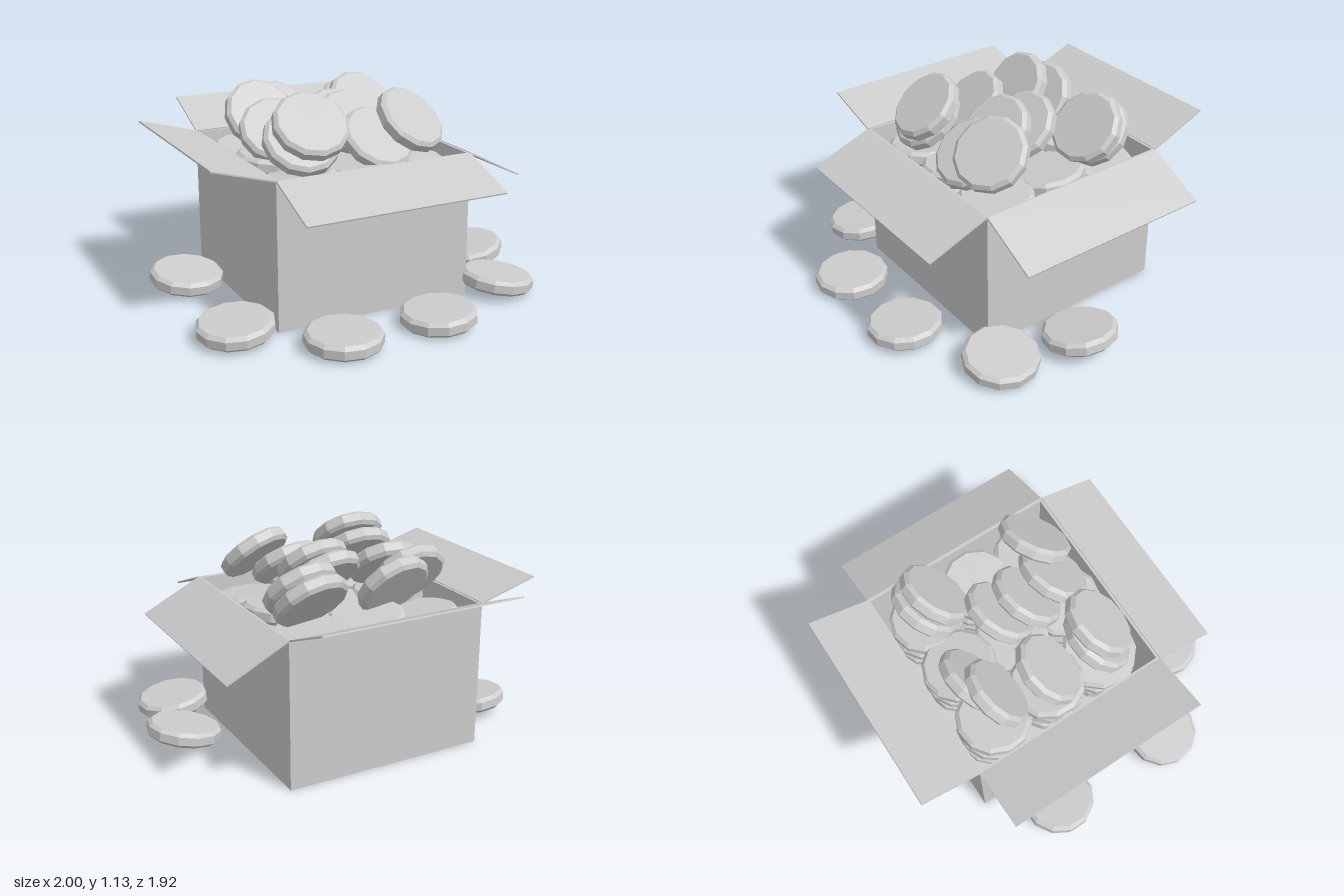
import * as THREE from 'three';

export function createModel() {
  const model = new THREE.Group();
  const grey = new THREE.MeshStandardMaterial({ color: 0xcccccc, flatShading: true });
  grey.name = 'light grey';

  // Carton extents
  const x0 = -0.585, x1 = 0.528, z0 = -0.64, z1 = 0.468, H = 0.79, T = 0.014;
  const cx = (x0 + x1) / 2, cz = (z0 + z1) / 2, W = x1 - x0, D = z1 - z0;

  const carton = new THREE.Group();
  carton.name = 'carton';
  model.add(carton);
  const slab = (name, w, h, d, x, y, z) => {
    const mesh = new THREE.Mesh(new THREE.BoxGeometry(w, h, d), grey);
    mesh.name = name;
    mesh.position.set(x, y, z);
    carton.add(mesh);
    return mesh;
  };
  slab('floor', W, T, D, cx, T / 2, cz);
  slab('frontWall', W, H, T, cx, H / 2, z1 - T / 2);
  slab('backWall', W, H, T, cx, H / 2, z0 + T / 2);
  slab('leftWall', T, H, D - 2 * T, x1 - T / 2, H / 2, cz);
  slab('rightWall', T, H, D - 2 * T, x0 + T / 2, H / 2, cz);

  // Open flaps: thin sheets from the rim out to a given reach and rise
  const F = 0.008;
  const flapZ = (name, edge, reach, rise) => {
    const flap = slab(name, W, F, Math.hypot(reach, rise), cx, H + rise / 2, edge + reach / 2);
    flap.rotation.x = -Math.atan(rise / reach);
  };
  const flapX = (name, edge, reach, rise) => {
    const flap = slab(name, Math.hypot(reach, rise), F, D, edge + reach / 2, H + rise / 2, cz);
    flap.rotation.z = Math.atan(rise / reach);
  };
  flapZ('frontFlap', z1, 0.335, -0.127);
  flapZ('backFlap', z0, -0.325, 0.132);
  flapX('leftFlap', x1, 0.322, -0.162);
  flapX('rightFlap', x0, -0.33, 0.093);

  // Twelve-sided disc with bevelled rims
  const profile = [[0, -0.04], [0.18, -0.04], [0.2, -0.022], [0.2, 0.022], [0.18, 0.04], [0, 0.04]]
    .map(([r, y]) => new THREE.Vector2(r, y));
  const discShape = new THREE.LatheGeometry(profile, 12);
  const addDiscs = (name, list) => {
    const group = new THREE.Group();
    group.name = name;
    list.forEach(([x, y, z, rx = 0, rz = 0], i) => {
      const disc = new THREE.Mesh(discShape, grey);
      disc.name = 'disc' + (i + 1);
      disc.position.set(x, y, z);
      disc.rotation.set(rx, 0, rz);
      disc.rotateY(i * 0.37);
      group.add(disc);
    });
    model.add(group);
  };

  // Each entry: x, y, z, tilt to the front, tilt sideways
  addDiscs('groundDiscs', [
    [0.8, 0.088, 0.085, 0.03, 0.19],
    [0.7, 0.072, 0.515, 0.02, -0.13],
    [0.175, 0.055, 0.75, 0, 0.06],
    [-0.37, 0.053, 0.755, 0.02, 0],
    [-0.8, 0.07, 0.43, 0.06, 0.08],
    [-0.8, 0.08, -0.285, 0.12, -0.06],
  ]);

  // Leaning discs heaped above the rim
  addDiscs('heapedDiscs', [
    [-0.3, 0.985, 0.26, 0.72, 0.05],
    [-0.34, 0.9, 0.23, 0.72, 0.05],
    [0.28, 0.955, 0.26, 0.72, -0.28],
    [0.09, 0.87, 0.25, 0.7, -0.1],
    [0.04, 0.92, 0.05, 0.75, -0.08],
    [0.05, 0.9, -0.11, 0.75, -0.08],
    [-0.34, 0.89, -0.07, 0.75, 0.1],
    [-0.31, 0.92, -0.36, 0.95, 0],
    [-0.18, 0.89, -0.42, 0.95, -0.1],
    [0.31, 0.925, -0.34, 0.82, -0.1],
    [0.29, 0.88, -0.41, 0.82, -0.1],
  ]);

  // Flatter discs filling the carton
  const fill = [];
  for (let layer = 0; layer < 3; layer++)
    for (let i = 0; i < 3; i++)
      for (let j = 0; j < 3; j++)
        fill.push([
          cx + (i - 1) * 0.33, 0.52 + layer * 0.09 + ((i + j) % 2) * 0.03, cz + (j - 1) * 0.33,
          0.12 * Math.sin(i * 2 + j + layer), 0.12 * Math.cos(i + j * 2 + layer),
        ]);
  addDiscs('fillingDiscs', fill);

  return model;
}
